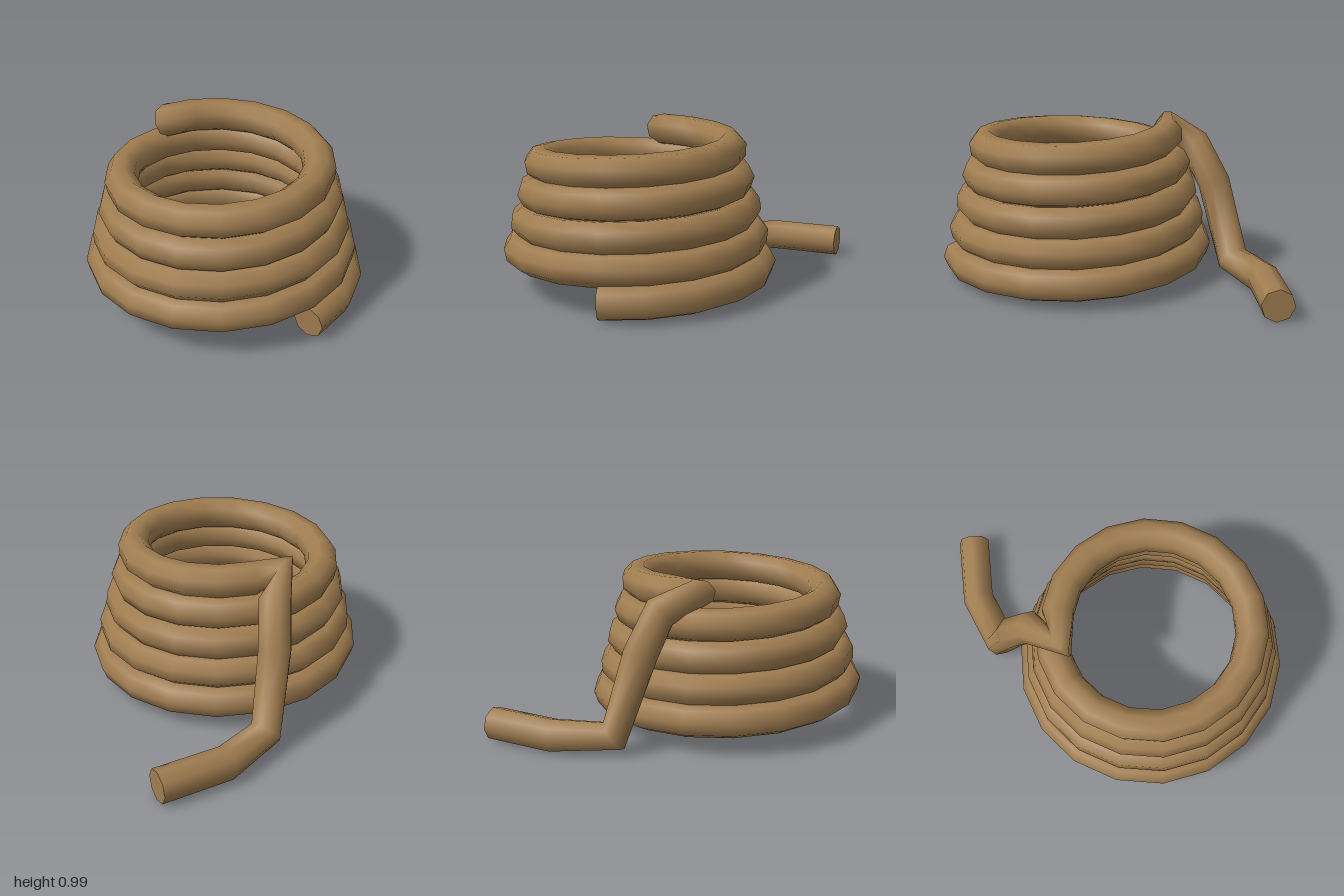
import * as THREE from 'three';

const RADIUS = 0.1, SIDES = 8;

// Polyline whose rings sit on the corner bisectors
class RopePath extends THREE.Curve {
  constructor(points) {
    super();
    this.points = points;
  }
  index(u) {
    return Math.round(u * (this.points.length - 1));
  }
  getPoint(u, target = new THREE.Vector3()) {
    return target.copy(this.points[this.index(u)]);
  }
  getPointAt(u, target) {
    return this.getPoint(u, target);
  }
  getTangentAt(u, target = new THREE.Vector3()) {
    const p = this.points, i = this.index(u);
    target.set(0, 0, 0);
    if (i > 0) target.add(p[i].clone().sub(p[i - 1]).normalize());
    if (i < p.length - 1) target.add(p[i + 1].clone().sub(p[i]).normalize());
    return target.normalize();
  }
  getTangent(u, target) {
    return this.getTangentAt(u, target);
  }
}

// Flat disc closing one end of the tube, taken from its ring
function endCap(tube, ring, reversed) {
  const pos = tube.attributes.position, verts = [], index = [];
  for (let j = 0; j < SIDES; j++) {
    const k = ring * (SIDES + 1) + j;
    verts.push(pos.getX(k), pos.getY(k), pos.getZ(k));
  }
  for (let j = 1; j < SIDES - 1; j++) {
    if (reversed) index.push(0, j + 1, j);
    else index.push(0, j, j + 1);
  }
  const geo = new THREE.BufferGeometry();
  geo.setAttribute('position', new THREE.Float32BufferAttribute(verts, 3));
  geo.setIndex(index);
  geo.computeVertexNormals();
  return geo;
}

export function createModel() {
  const group = new THREE.Group();
  group.name = 'coiledRope';
  const ropeMaterial = new THREE.MeshStandardMaterial({ color: 0xa07d50 });
  ropeMaterial.name = 'rope tan';

  // Tapering coil: four and a half turns, 18 segments each
  const points = [];
  for (let i = 0; i <= 81; i++) {
    const t = i / 18, a = t * Math.PI * 2, r = 0.775 - 0.047 * t;
    points.push(new THREE.Vector3(
      0.115 + r * Math.cos(a), 0.105 + 0.176 * t, 0.167 - r * Math.sin(a)));
  }

  // Loose tail hanging over the side and lying on the ground
  for (const p of [
    [-0.6, 0.81, -0.01], [-0.71, 0.58, -0.09], [-0.81, 0.11, -0.22],
    [-0.895, 0.1, -0.565], [-0.838, 0.1, -0.985],
  ]) points.push(new THREE.Vector3(...p));

  const segments = points.length - 1;
  const tube = new THREE.TubeGeometry(new RopePath(points), segments, RADIUS, SIDES, false);

  const add = (name, geo) => {
    const mesh = new THREE.Mesh(geo, ropeMaterial);
    mesh.name = name;
    group.add(mesh);
  };
  add('rope', tube);
  add('coilEndCap', endCap(tube, 0, false));
  add('tailEndCap', endCap(tube, segments, true));
  return group;
}
